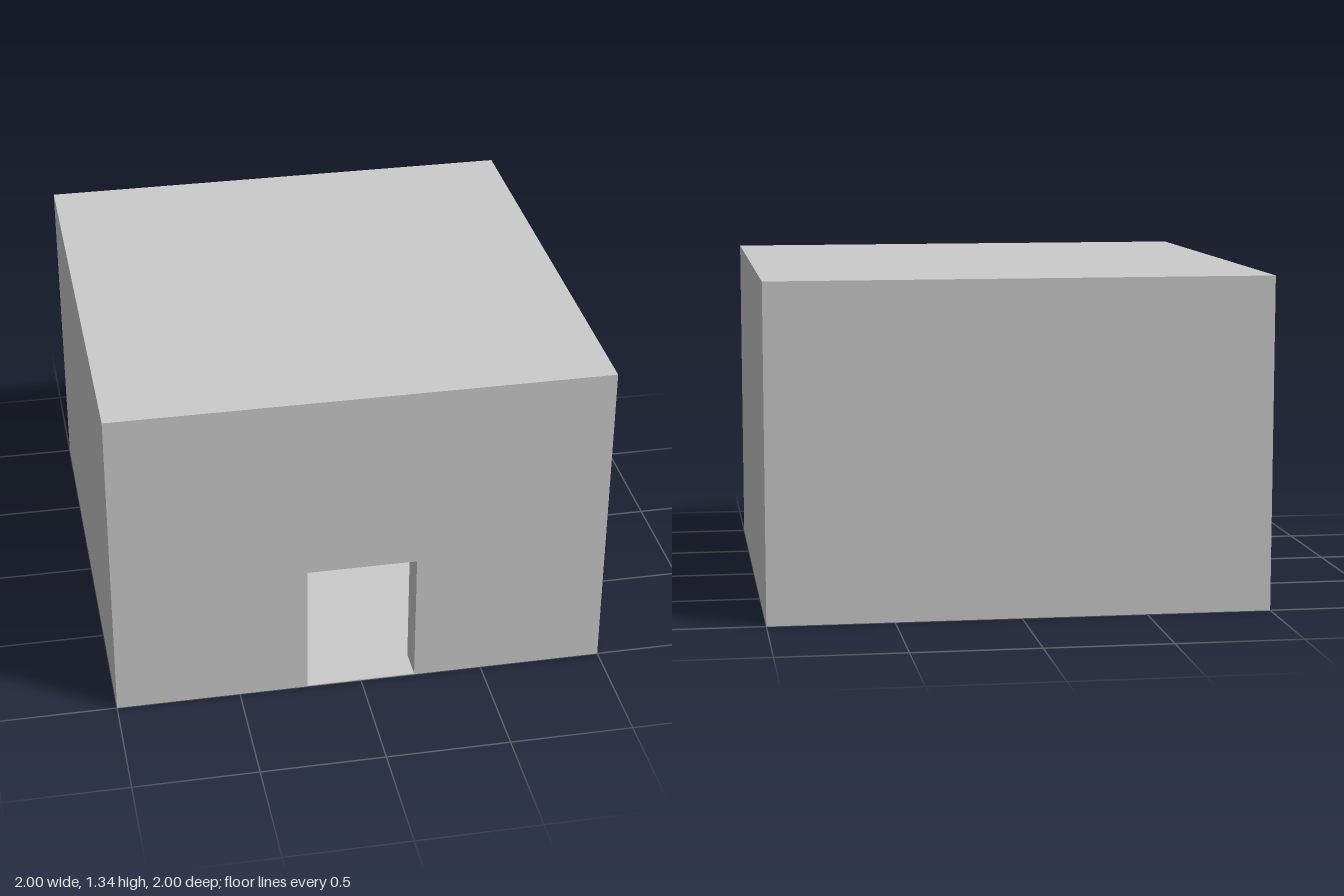
import * as THREE from 'three';

const SIZE = 2, HEIGHT = 1.335, WALL = 0.13, FLOOR = 0.004;
const DOOR_HALF = 0.222, DOOR_TOP = 0.56;

export function createModel() {
  const group = new THREE.Group();
  group.name = 'house';
  const material = new THREE.MeshStandardMaterial({ color: 0xcccccc, flatShading: true });

  const add = (name, geometry, x, y, z) => {
    const mesh = new THREE.Mesh(geometry, material);
    mesh.name = name;
    mesh.position.set(x, y, z);
    group.add(mesh);
  };

  const half = SIZE / 2;
  const wallTop = HEIGHT - WALL;
  const wallHeight = wallTop - FLOOR;
  const wallY = FLOOR + wallHeight / 2;

  // Thin floor and flat roof slab
  add('floor', new THREE.BoxGeometry(SIZE, FLOOR, SIZE), 0, FLOOR / 2, 0);
  add('roof', new THREE.BoxGeometry(SIZE, WALL, SIZE), 0, HEIGHT - WALL / 2, 0);

  // Back wall and the two side walls fitted between front and back
  add('backWall', new THREE.BoxGeometry(SIZE, wallHeight, WALL), 0, wallY, -half + WALL / 2);
  for (const [name, side] of [['leftWall', 1], ['rightWall', -1]]) {
    add(name, new THREE.BoxGeometry(WALL, wallHeight, SIZE - 2 * WALL), side * (half - WALL / 2), wallY, 0);
  }

  // Front wall with the doorway cut up from the floor
  const front = new THREE.Shape([
    [-half, FLOOR], [-DOOR_HALF, FLOOR], [-DOOR_HALF, DOOR_TOP], [DOOR_HALF, DOOR_TOP],
    [DOOR_HALF, FLOOR], [half, FLOOR], [half, wallTop], [-half, wallTop],
  ].map(([x, y]) => new THREE.Vector2(x, y)));
  add('frontWall', new THREE.ExtrudeGeometry(front, { depth: WALL, bevelEnabled: false }), 0, 0, half - WALL);

  return group;
}
